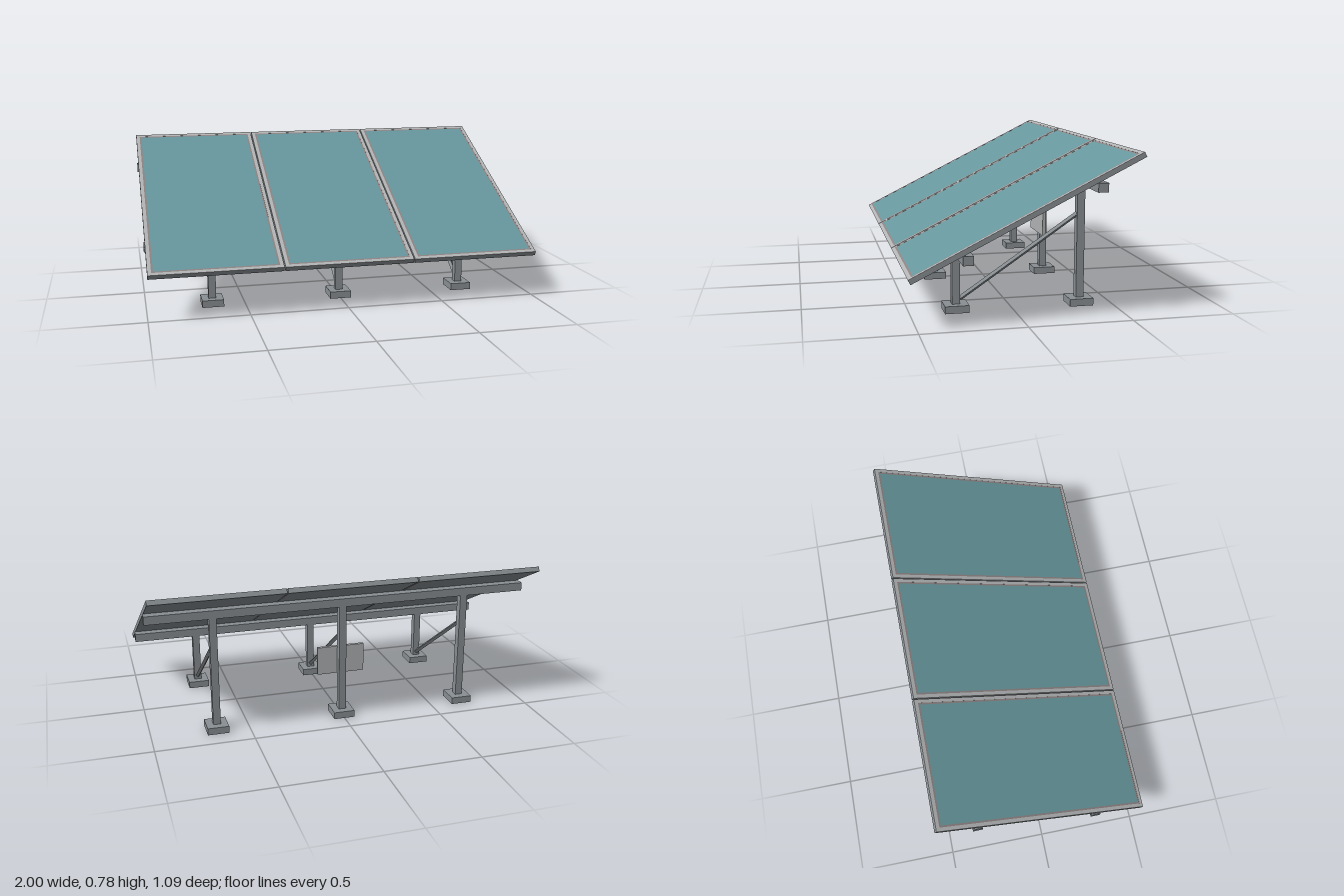
import * as THREE from 'three';

const material = (name, color, side = THREE.FrontSide) => {
  const m = new THREE.MeshStandardMaterial({ color, side });
  m.name = name;
  return m;
};

export function createModel() {
  const steel = material('steel grey', 0x8a9094);
  const openSteel = material('open steel grey', 0x8a9094, THREE.DoubleSide);
  const aluminium = material('light aluminium', 0xb2b4b5);
  const backing = material('warm grey backing', 0x8c8282);
  const glass = material('teal glass', 0x67979e);

  const model = new THREE.Group();
  model.name = 'solarArray';

  const add = (parent, name, geometry, mat, x, y, z) => {
    const mesh = new THREE.Mesh(geometry, mat);
    mesh.name = name;
    mesh.position.set(x, y, z);
    parent.add(mesh);
    return mesh;
  };
  const box = (parent, name, mat, size, pos) =>
    add(parent, name, new THREE.BoxGeometry(...size), mat, ...pos);

  // Flat rectangular ring lying in the xz plane, its base at y = 0
  const ring = (w, l, border, height) => {
    const rect = (Path, hw, hl) => new Path([
      new THREE.Vector2(-hw, -hl), new THREE.Vector2(hw, -hl),
      new THREE.Vector2(hw, hl), new THREE.Vector2(-hw, hl),
    ]);
    const shape = rect(THREE.Shape, w / 2, l / 2);
    shape.holes.push(rect(THREE.Path, w / 2 - border, l / 2 - border));
    return new THREE.ExtrudeGeometry(shape, { depth: height, bevelEnabled: false })
      .rotateX(-Math.PI / 2);
  };

  // Tilted table of three panels
  const table = new THREE.Group();
  table.name = 'panelTable';
  table.position.y = 0.502;
  table.rotation.x = 0.461;
  model.add(table);
  const W = 0.66, L = 1.203, RIM = 0.019, STRIP = 0.009;
  for (const i of [-1, 0, 1]) {
    const panel = new THREE.Group();
    panel.name = 'panel';
    panel.position.x = i * 0.6655;
    table.add(panel);
    box(panel, 'panelBody', steel, [W, 0.023, L], [0, -0.001, 0]);
    add(panel, 'panelRim', ring(W, L, RIM, 0.002), aluminium, 0, 0.0105, 0);
    add(panel, 'backingStrip', ring(W - 2 * RIM, L - 2 * RIM, STRIP, 0.0015), backing, 0, 0.0105, 0);
    const inset = 2 * (RIM + STRIP);
    box(panel, 'glass', glass, [W - inset, 0.0015, L - inset], [0, 0.01125, 0]);
  }

  // Foot: a box left open underneath
  const footGeometry = new THREE.BoxGeometry(0.11, 0.036, 0.118);
  const faces = Array.from(footGeometry.index.array);
  faces.splice(18, 6);
  footGeometry.setIndex(faces);
  footGeometry.clearGroups();

  // Rails with their posts and feet
  const supports = [
    { name: 'front', z: 0.276, top: 0.297 },
    { name: 'back', z: -0.341, top: 0.603 },
  ];
  const columns = [-0.667, 0, 0.667];
  for (const { name, z, top } of supports) {
    box(model, name + 'Rail', steel, [2, 0.043, 0.049], [0, top + 0.0215, z]);
    for (const x of columns) {
      box(model, name + 'Post', steel, [0.038, top - 0.036, 0.039], [x, (top + 0.036) / 2, z]);
      add(model, name + 'Foot', footGeometry, openSteel, x, 0.018, z);
    }
  }

  // Diagonal braces between front and back posts
  for (const x of columns) {
    const a = new THREE.Vector3(x, 0.059, 0.255);
    const b = new THREE.Vector3(x, 0.452, -0.328);
    const dir = b.clone().sub(a);
    const geometry = new THREE.CylinderGeometry(0.012, 0.012, dir.length(), 4).toNonIndexed();
    geometry.computeVertexNormals();
    const mid = a.clone().add(b).multiplyScalar(0.5);
    const brace = add(model, 'brace', geometry, steel, mid.x, mid.y, mid.z);
    brace.quaternion.setFromUnitVectors(new THREE.Vector3(0, 1, 0), dir.normalize());
  }

  // Control box on the middle back post
  box(model, 'controlBox', aluminium, [0.25, 0.148, 0.016], [0, 0.304, -0.317]);

  return model;
}
